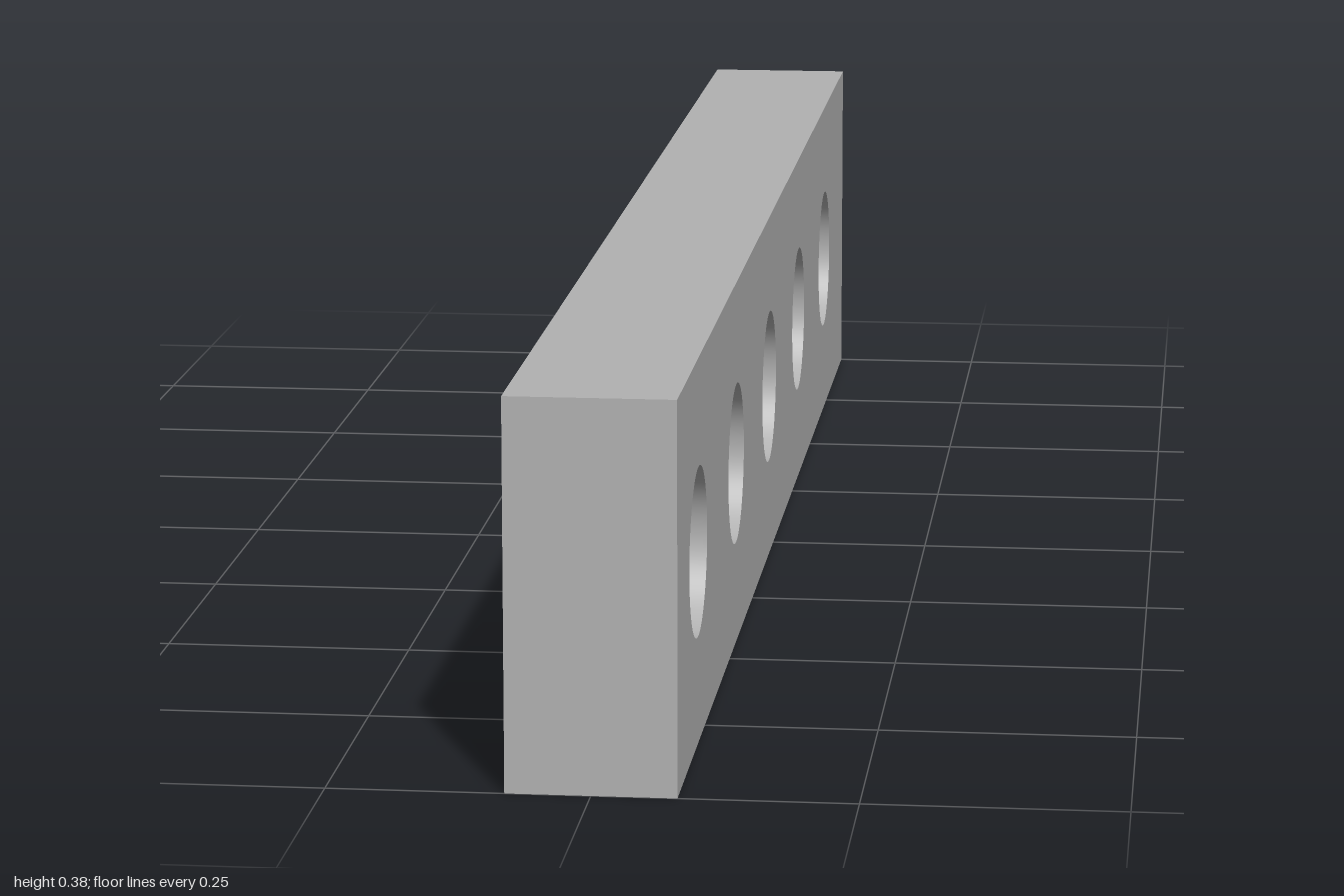
import * as THREE from 'three';

const LENGTH = 2, HEIGHT = 0.378, HALF = 0.081;   // bar along z, half thickness in x
const BORE = 0.083, COUNTERBORE = 0.112;          // hole radii
const STEP = 0.03;                                // x where the counterbore ends
const SEGMENTS = 64;
const holeZ = [0, 1, 2, 3, 4].map((i) => 0.811 - i * 0.3785);

export function createModel() {
  const group = new THREE.Group();
  group.name = 'drilledBar';
  const grey = new THREE.MeshStandardMaterial({ color: 0xb2b2b2, side: THREE.DoubleSide });
  grey.name = 'plain grey';

  const add = (name, geometry, x, z = 0) => {
    const mesh = new THREE.Mesh(geometry, grey);
    mesh.name = name;
    mesh.position.set(x, HEIGHT / 2, z);
    group.add(mesh);
  };

  // Top, bottom and ends: a box without its two broad faces
  const shell = new THREE.BoxGeometry(HALF * 2, HEIGHT, LENGTH);
  shell.setIndex(Array.from(shell.index.array).slice(12));
  shell.clearGroups();
  add('edges', shell, 0);

  // Broad faces with round openings; side is the sign of x they face
  const broadFace = (name, side, radius) => {
    const l = LENGTH / 2, h = HEIGHT / 2;
    const shape = new THREE.Shape([[-l, -h], [l, -h], [l, h], [-l, h]].map((p) => new THREE.Vector2(...p)));
    for (const z of holeZ) {
      shape.holes.push(new THREE.Path().absarc(-side * z, 0, radius, 0, Math.PI * 2, true));
    }
    const geometry = new THREE.ShapeGeometry(shape, SEGMENTS / 2).rotateY(side * Math.PI / 2);
    add(name, geometry, side * HALF);
  };
  broadFace('boreFace', 1, BORE);
  broadFace('counterboreFace', -1, COUNTERBORE);

  // Stepped holes: wide wall, flat shoulder, narrow wall
  const wall = (name, radius, x0, x1, z) => {
    const tube = new THREE.CylinderGeometry(radius, radius, x1 - x0, SEGMENTS, 1, true).rotateZ(Math.PI / 2);
    add(name, tube, (x0 + x1) / 2, z);
  };
  for (const z of holeZ) {
    wall('counterboreWall', COUNTERBORE, -HALF, STEP, z);
    add('shoulder', new THREE.RingGeometry(BORE, COUNTERBORE, SEGMENTS).rotateY(-Math.PI / 2), STEP, z);
    wall('boreWall', BORE, STEP, HALF, z);
  }
  return group;
}
